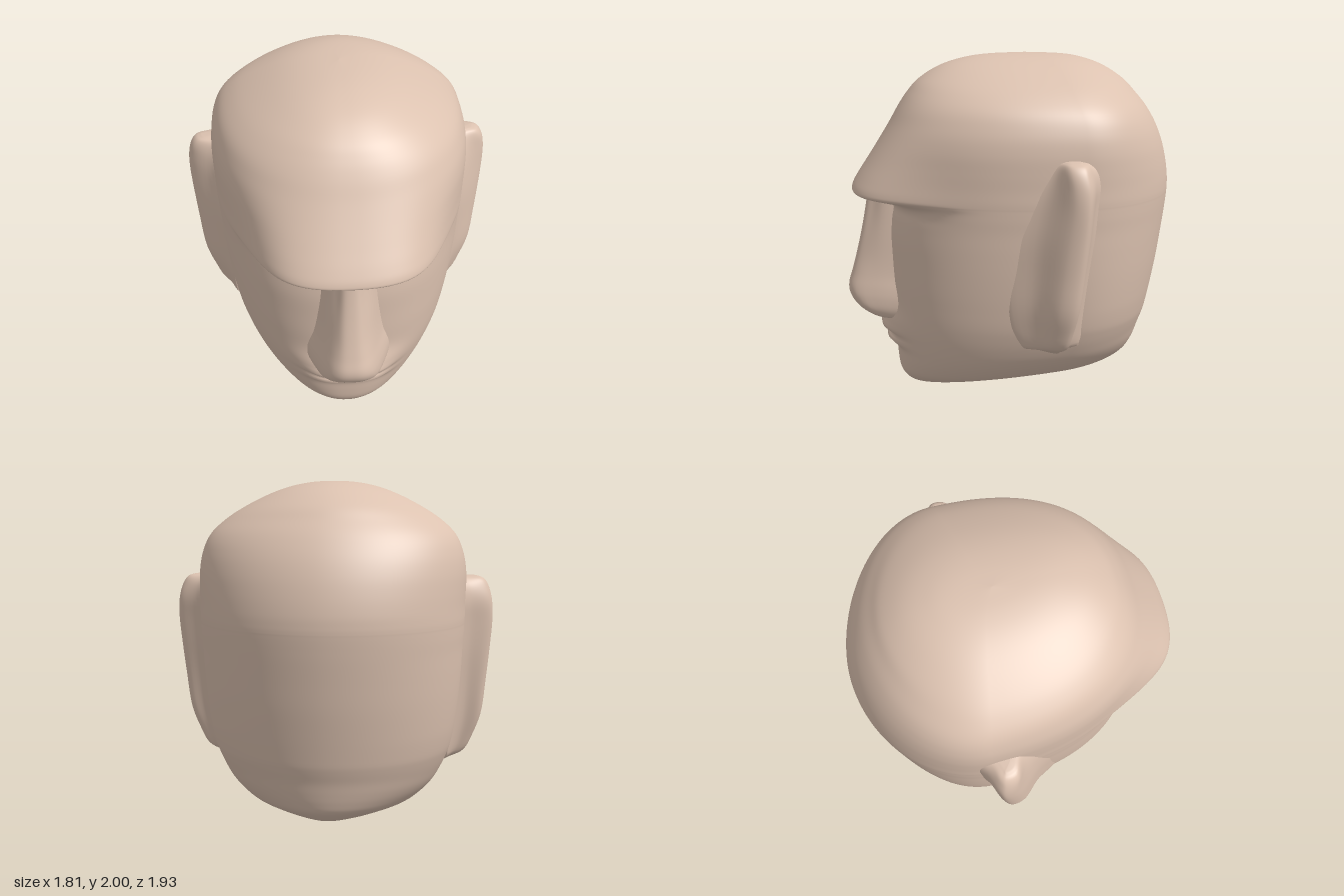
import * as THREE from 'three';

const skin = new THREE.MeshStandardMaterial({ color: 0xdcc2b0 });
const V = (x, y, z) => new THREE.Vector3(x, y, z);

// Skin a surface over rows of points (rows run upward, points run left to right seen from outside)
function loft(name, rows, closed) {
  const n = rows[0].length, index = [];
  const cols = closed ? n : n - 1;
  for (let i = 0; i < rows.length - 1; i++) {
    for (let j = 0; j < cols; j++) {
      const k = (j + 1) % n;
      const a = i * n + j, b = i * n + k, c = a + n, d = b + n;
      index.push(a, b, c, b, d, c);
    }
  }
  const geo = new THREE.BufferGeometry().setFromPoints(rows.flat());
  geo.setIndex(index);
  geo.computeVertexNormals();
  const mesh = new THREE.Mesh(geo, skin);
  mesh.name = name;
  return mesh;
}

// Smoothly resample a table of section settings
function sample(keys, count) {
  const curves = keys[0].map((_, c) =>
    new THREE.CatmullRomCurve3(keys.map(k => V(k[c], 0, 0)), false, 'catmullrom', 0.5));
  return Array.from({ length: count + 1 }, (_, i) => curves.map(c => c.getPoint(i / count).x));
}

const bump = (v, centre, width) => Math.exp(-(((v - centre) / width) ** 2));

// Skull, brow, jaw and mouth: rings of [height, front z, back z, half width, brow overhang]
function buildHead() {
  const keys = [
    [0.0, 0.42, -0.5, 0.05, 0], [0.005, 0.53, -0.62, 0.17, 0], [0.03, 0.61, -0.68, 0.28, 0],
    [0.07, 0.65, -0.73, 0.38, 0], [0.12, 0.675, -0.77, 0.47, 0], [0.19, 0.685, -0.79, 0.54, 0],
    [0.27, 0.69, -0.805, 0.595, 0], [0.36, 0.7, -0.82, 0.635, 0], [0.45, 0.71, -0.84, 0.665, 0],
    [0.55, 0.715, -0.86, 0.69, 0], [0.68, 0.72, -0.885, 0.71, 0], [0.82, 0.72, -0.91, 0.725, 0],
    [0.96, 0.72, -0.93, 0.735, 0], [1.07, 0.72, -0.945, 0.74, -0.01], [1.14, 0.72, -0.953, 0.745, -0.02],
    [1.18, 0.72, -0.957, 0.747, 0.02], [1.205, 0.72, -0.959, 0.748, 0.14], [1.22, 0.72, -0.96, 0.749, 0.2],
    [1.25, 0.72, -0.96, 0.75, 0.2], [1.31, 0.72, -0.956, 0.75, 0.165], [1.4, 0.72, -0.94, 0.752, 0.105],
    [1.5, 0.715, -0.912, 0.75, 0.045], [1.6, 0.69, -0.87, 0.733, 0.008], [1.7, 0.64, -0.81, 0.69, 0],
    [1.78, 0.585, -0.745, 0.61, 0], [1.85, 0.52, -0.68, 0.505, 0], [1.92, 0.41, -0.575, 0.37, 0],
    [1.965, 0.28, -0.46, 0.25, 0], [1.99, 0.13, -0.33, 0.13, 0], [2.0, -0.1, -0.1, 0, 0],
  ];
  const N = 160;
  const rows = sample(keys, 145).map(([h, zf, zb, w, brow]) => {
    const zc = Math.max(-0.3, zf + (zb - zf) * 0.64);
    const row = [];
    for (let j = 0; j < N; j++) {
      const a = (j / N) * Math.PI * 2, s = Math.sin(a), c = Math.cos(a);
      const p = c > 0 ? 2 / 2.35 : 2 / 1.93;
      const x = Math.sign(s) * Math.abs(s) ** p * Math.max(w, 0);
      let z = zc + Math.sign(c) * Math.abs(c) ** p * (c > 0 ? zf - zc : zc - zb);
      // underside of the jaw rises toward the neck
      const y = h + 0.13 * Math.max(0, 1 - h / 0.5) * (0.5 - z) / 1.15;
      if (c > 0) {
        // overhanging brow, fading out at the temples
        z += brow * Math.exp(-((x / 0.53) ** 6));
        // muzzle with two lips and the groove between them
        z += 0.055 * bump(y, 0.43, 0.09) * Math.exp(-((x / 0.3) ** 4));
        z += Math.exp(-((x / 0.25) ** 4)) * (0.03 * bump(y, 0.395, 0.028)
          + 0.042 * bump(y, 0.315, 0.032) - 0.015 * bump(y, 0.352, 0.015));
      }
      row.push(V(x, y, z));
    }
    return row;
  });
  rows.unshift(rows[0].map(() => V(0, 0.06, -0.05)));
  return loft('head', rows, true);
}

// Long wedge nose: [height, half width at face, half width of ridge, front z]
function buildNose() {
  const keys = [
    [0.462, 0.1, 0.06, 0.7], [0.462, 0.18, 0.13, 0.82], [0.475, 0.205, 0.15, 0.86],
    [0.52, 0.22, 0.145, 0.92], [0.58, 0.22, 0.125, 0.96], [0.64, 0.21, 0.11, 0.968],
    [0.72, 0.19, 0.1, 0.945], [0.82, 0.175, 0.09, 0.917], [0.95, 0.16, 0.083, 0.885],
    [1.08, 0.145, 0.075, 0.858], [1.21, 0.13, 0.07, 0.835],
  ];
  const rows = sample(keys, 50).map(([y, base, ridge, z]) => {
    const back = Math.min(0.66, z - 0.03);
    const half = [[base * 1.12, back], [(base + ridge) / 2 + 0.01, (back + z) / 2],
      [ridge, z - 0.045], [ridge * 0.55, z - 0.008]];
    const pts = [...half.map(([x, q]) => V(-x, y, q)), V(0, y, z),
      ...half.reverse().map(([x, q]) => V(x, y, q))];
    return new THREE.CatmullRomCurve3(pts).getPoints(32);
  });
  rows.unshift(rows[0].map(() => V(0, 0.465, 0.68)));
  return loft('nose', rows, false);
}

// Tall flaring ear: [height, outer x, rim front z, rim back z, root front z, root back z]
function buildEar(side) {
  const keys = [
    [0.34, 0.59, -0.15, -0.19, -0.08, -0.2], [0.39, 0.675, -0.13, -0.2, -0.02, -0.22],
    [0.44, 0.765, -0.12, -0.215, 0.03, -0.24], [0.54, 0.815, -0.13, -0.23, 0.08, -0.26],
    [0.68, 0.86, -0.14, -0.25, 0.11, -0.28], [0.88, 0.88, -0.16, -0.27, 0.12, -0.31],
    [1.06, 0.895, -0.18, -0.285, 0.12, -0.335], [1.22, 0.905, -0.2, -0.295, 0.08, -0.35],
    [1.33, 0.9, -0.2, -0.3, 0.02, -0.36], [1.41, 0.88, -0.19, -0.29, -0.05, -0.35],
    [1.455, 0.85, -0.19, -0.28, -0.1, -0.32], [1.47, 0.81, -0.2, -0.25, -0.15, -0.28],
  ];
  const rows = sample(keys, 48).map(([y, xo, rf, rb, zf, zb]) => {
    const root = Math.min(0.66, xo - 0.08);
    const pts = [V(root, y, zf), V(root + (xo - root) * 0.43, y, zf + (rf - zf) * 0.55),
      V(xo - 0.015, y, rf), V(xo, y, (rf + rb) / 2 - 0.02), V(xo - 0.02, y, rb),
      V(root + (xo - root) * 0.5, y, zb + 0.01), V(root, y, zb - 0.06)];
    const row = new THREE.CatmullRomCurve3(pts, true).getPoints(40).slice(0, 40);
    row.forEach(p => { p.x *= side; });
    return side < 0 ? row.reverse() : row;
  });
  // close the rounded top
  rows.push(rows[rows.length - 1].map(() => V(side * 0.76, 1.472, -0.21)));
  return loft(side > 0 ? 'leftEar' : 'rightEar', rows, true);
}

export function createModel() {
  const group = new THREE.Group();
  group.name = 'headSculpture';
  group.add(buildHead(), buildNose(), buildEar(1), buildEar(-1));
  return group;
}
